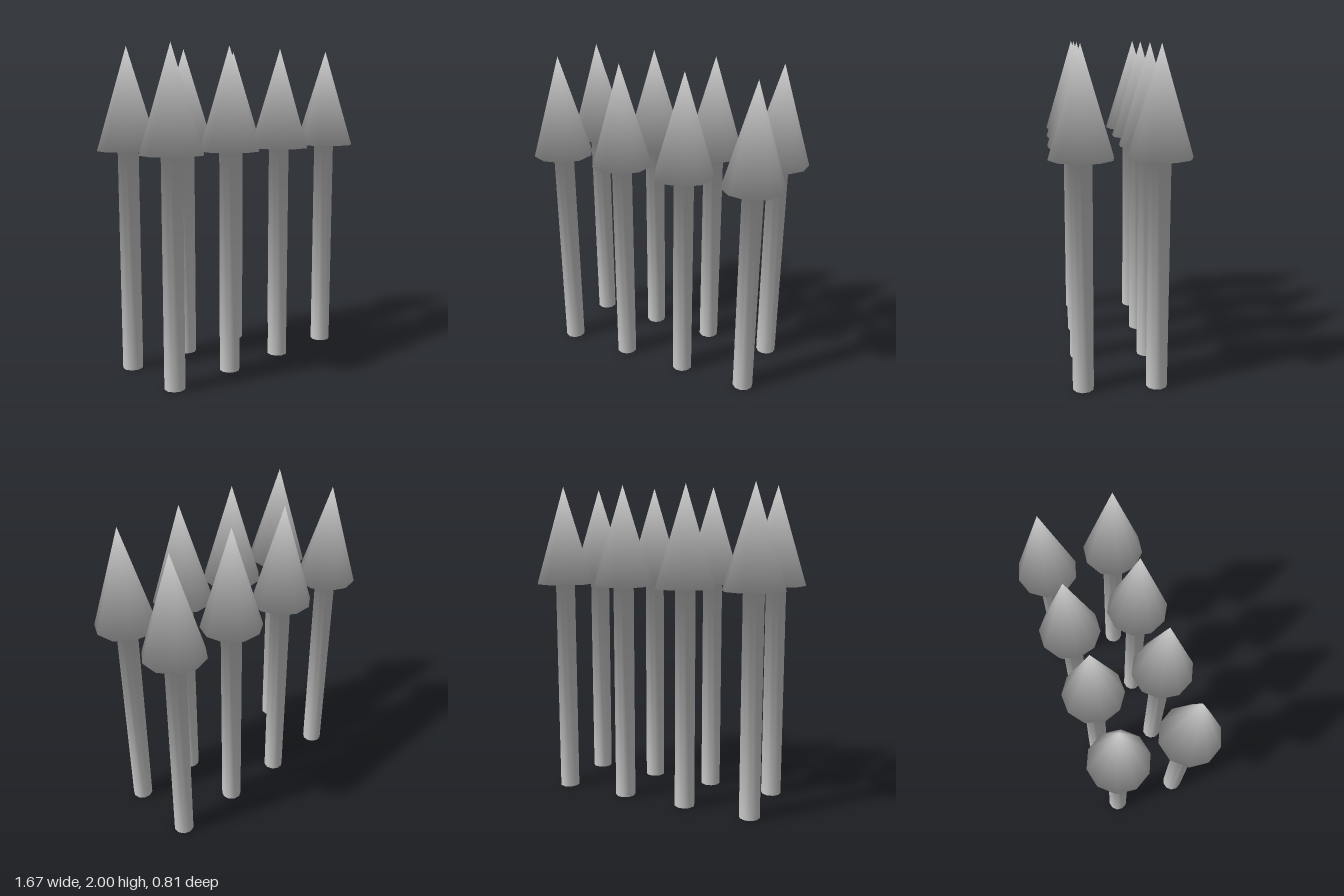
import * as THREE from 'three';

const SIDES = 10;

// Profile from foot to tip: [radius, height, outward normal, upward normal]
const PROFILE = [
  [0.064, 0, 1, 0],
  [0.064, 1.38, 0.71, -0.71],
  [0.188, 1.38, 0.8, -0.6],
  [0, 2, 0, 1],
];

// Hollow post flowing into a pointed head, with softly blended normals
function arrowGeometry() {
  const points = PROFILE.map(([r, y]) => new THREE.Vector2(r, y));
  const geometry = new THREE.LatheGeometry(points, SIDES);
  const normal = geometry.attributes.normal;
  for (let i = 0; i <= SIDES; i++) {
    const a = (i / SIDES) * Math.PI * 2;
    PROFILE.forEach(([, , out, up], j) => {
      normal.setXYZ(i * PROFILE.length + j, out * Math.sin(a), up, out * Math.cos(a));
    });
  }
  return geometry;
}

export function createModel() {
  const group = new THREE.Group();
  group.name = 'arrowPosts';
  const geometry = arrowGeometry();
  const material = new THREE.MeshStandardMaterial({ color: 0xcccccc, side: THREE.DoubleSide });

  // Two rows of four, each post turned a little differently (degrees)
  const columns = [-0.65, -0.217, 0.21, 0.647];
  const rows = [
    { name: 'back', z: -0.219, turns: [-6, -17, 15, 0] },
    { name: 'front', z: 0.219, turns: [-6, -8, -12, 10] },
  ];
  for (const { name, z, turns } of rows) {
    columns.forEach((x, i) => {
      const post = new THREE.Mesh(geometry, material);
      post.name = `${name}ArrowPost${i + 1}`;
      post.position.set(x, 0, z);
      post.rotation.y = THREE.MathUtils.degToRad(turns[i]);
      group.add(post);
    });
  }
  return group;
}
